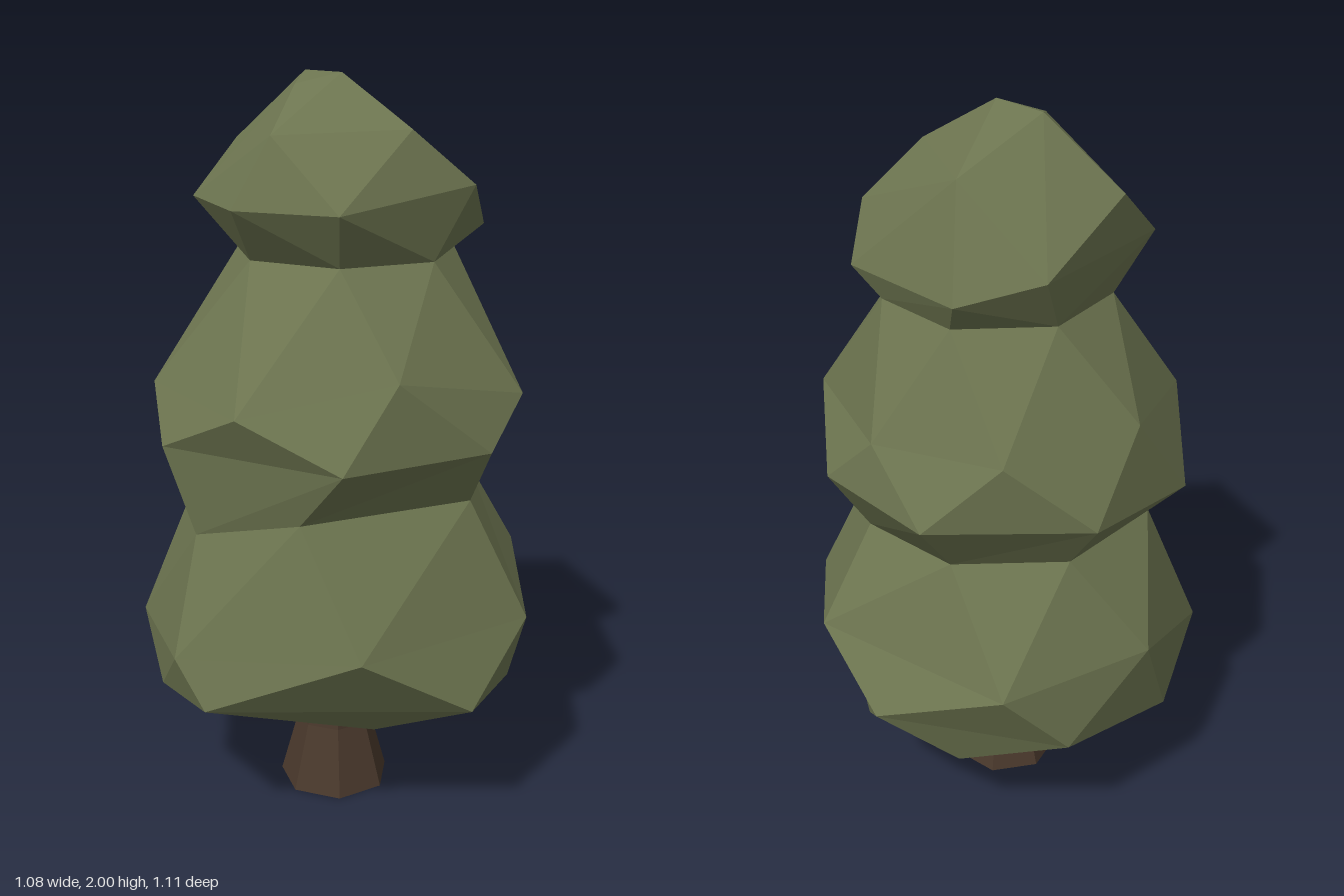
import * as THREE from 'three';
import { ConvexGeometry } from 'three/addons/geometries/ConvexGeometry.js';

const SIDES = 7;

// Point on a cross-section: angle in degrees from +x towards +z, radius, height
function polar([degrees, radius, y], cx = 0, cz = 0) {
  const a = THREE.MathUtils.degToRad(degrees);
  return new THREE.Vector3(cx + Math.cos(a) * radius, y, cz + Math.sin(a) * radius);
}

// Uneven cross-section from its seven polar points
const section = (...rows) => rows.map((row) => polar(row));

// Even cross-section
function ring(y, radius, start, cx, cz) {
  return Array.from({ length: SIDES }, (_, i) => polar([start + (i * 360) / SIDES, radius, y], cx, cz));
}

// Faceted loft through the cross-sections, closed by a pole at each end
function loft(rings, bottomY, topY) {
  const points = rings.flat();
  const index = [];
  const low = points.length;
  const last = low - SIDES;
  points.push(new THREE.Vector3(0, bottomY, 0), new THREE.Vector3(0, topY, 0));
  for (let i = 0; i < SIDES; i++) {
    const j = (i + 1) % SIDES;
    index.push(low, i, j, last + i, low + 1, last + j);
    for (let l = 0; l < last; l += SIDES) {
      const u = l + SIDES;
      index.push(l + i, u + i, l + j, l + j, u + i, u + j);
    }
  }
  const geo = new THREE.BufferGeometry().setFromPoints(points);
  geo.setIndex(index);
  const flat = geo.toNonIndexed();
  flat.computeVertexNormals();
  return flat;
}

function part(name, geo, color) {
  const mesh = new THREE.Mesh(geo, new THREE.MeshStandardMaterial({ color, flatShading: true }));
  mesh.name = name;
  return mesh;
}

export function createModel() {
  const tree = new THREE.Group();
  tree.name = 'tree';
  const green = 0x6d7550;
  const neck = ring(1.54, 0.3, 98, -0.01, -0.03);

  // Lower and middle tiers: underside, hem, lower bulge, waist, middle bulge, shoulder, neck
  const tiers = loft([
    ring(0.305, 0.38, -15, 0, -0.06),
    section([4, 0.54, 0.4], [84, 0.545, 0.4], [115, 0.52, 0.36], [168, 0.52, 0.36],
      [210, 0.515, 0.4], [267, 0.56, 0.48], [336, 0.5, 0.395]),
    section([38, 0.54, 0.59], [95, 0.557, 0.52], [139, 0.567, 0.49], [184, 0.54, 0.64],
      [230, 0.55, 0.6], [292, 0.55, 0.65], [337, 0.55, 0.58]),
    section([58, 0.41, 0.91], [101, 0.45, 0.83], [160, 0.42, 0.94], [205, 0.41, 0.92],
      [250, 0.39, 0.91], [295, 0.39, 0.91], [344, 0.4, 0.91]),
    section([43, 0.495, 1.07], [107, 0.515, 1.07], [158, 0.515, 1.02], [203, 0.515, 1.06],
      [253, 0.52, 1.07], [292, 0.51, 1.1], [351, 0.487, 1.07]),
    section([76, 0.485, 1.19], [127, 0.5, 1.2], [182, 0.46, 1.28], [230, 0.48, 1.25],
      [275, 0.46, 1.24], [335, 0.51, 1.2], [24, 0.43, 1.28]),
    neck,
  ], 0.285, 1.6);
  tree.add(part('lowerFoliage', tiers, green));

  // Lopsided crown: hull over the neck, a wide belt, shoulders and a short ridge
  const crown = [
    [0, 1.68, 0.37], [0.26, 1.68, 0.25], [0.34, 1.73, -0.15], [0.25, 1.61, -0.29],
    [-0.15, 1.62, -0.36], [-0.32, 1.68, -0.22], [-0.3, 1.68, 0.25],
    [-0.32, 1.82, 0.08], [0.06, 1.86, 0.29], [0.26, 1.87, 0], [-0.08, 1.89, -0.26],
    [-0.06, 1.97, 0.1], [-0.13, 2, 0], [0.04, 2, 0.03],
  ].map((p) => new THREE.Vector3(...p));
  tree.add(part('crown', new ConvexGeometry([...crown, ...neck]), green));

  // Flared trunk
  const trunk = loft([
    ring(0, 0.157, -13, 0.01, 0.03),
    ring(0.19, 0.105, -13, 0.01, 0.03),
    ring(0.36, 0.093, -13, 0.01, 0.025),
  ], 0, 0.36);
  tree.add(part('trunk', trunk, 0x4a392c));

  return tree;
}
